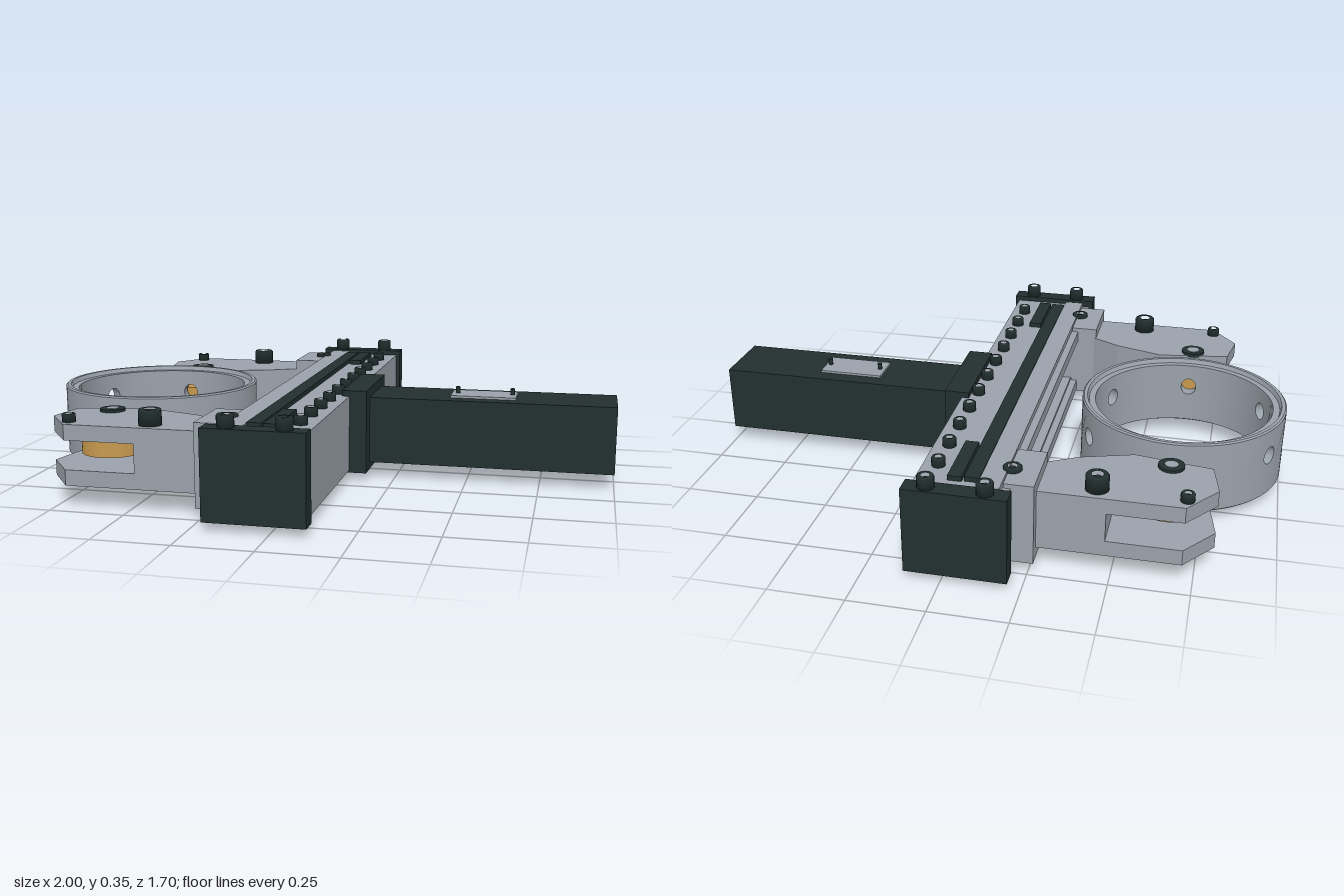
import * as THREE from 'three';

const MID = 0.165; // height of the symmetry plane

export function createModel() {
  const mat = (name, color) => {
    const m = new THREE.MeshStandardMaterial({ color });
    m.name = name;
    return m;
  };
  const steel = mat('steel grey', 0x9aa2ab);
  const dark = mat('blackened steel', 0x22302f);
  const brass = mat('brass', 0xc89a50);

  const root = new THREE.Group();
  root.name = 'gripper';

  const add = (parent, name, geo, material) => {
    const m = new THREE.Mesh(geo, material);
    m.name = name;
    parent.add(m);
    return m;
  };
  // box given by its limits on each axis
  const box = (parent, name, material, [x0, x1], [y0, y1], [z0, z1]) =>
    add(parent, name, new THREE.BoxGeometry(x1 - x0, y1 - y0, z1 - z0), material)
      .position.set((x0 + x1) / 2, (y0 + y1) / 2, (z0 + z1) / 2);
  // upright cylinder given by its bottom and top
  const post = (parent, name, material, r, x, z, y0, y1, sides = 24) =>
    add(parent, name, new THREE.CylinderGeometry(r, r, y1 - y0, sides), material)
      .position.set(x, (y0 + y1) / 2, z);
  // socket-head bolt with a hexagonal recess
  const bolt = (parent, name, r, x, z, y0, y1) => {
    const h = y1 - y0;
    const pts = [[0, 0], [r, 0], [r, h * 0.9], [r * 0.9, h], [r * 0.5, h]];
    const head = new THREE.LatheGeometry(pts.map(p => new THREE.Vector2(...p)), 20);
    add(parent, name, head, dark).position.set(x, y0, z);
    post(parent, name + 'Socket', dark, r * 0.52, x, z, y0, y1 - h * 0.25, 6);
  };
  // plate cut from an x/z outline
  const plate = (parent, name, material, outline, y0, y1) => {
    const shape = new THREE.Shape(outline.map(([x, z]) => new THREE.Vector2(x, -z)));
    const g = new THREE.ExtrudeGeometry(shape, { depth: y1 - y0, bevelEnabled: false });
    g.rotateX(-Math.PI / 2);
    add(parent, name, g, material).position.y = y0;
  };

  // ---- slide housing, open towards the jaws
  const body = new THREE.Group();
  body.name = 'slideHousing';
  root.add(body);
  box(body, 'mainBeam', steel, [-0.12, 0.10], [0.035, 0.297], [-0.79, 0.79]);
  for (const s of [-1, 1]) {
    const span = (a, b) => [MID + s * a, MID + s * b].sort((p, q) => p - q);
    box(body, 'guideRail', steel, [-0.17, -0.10], span(0.075, 0.145), [-0.78, 0.78]);
    box(body, 'railLip', steel, [-0.195, -0.165], span(0.085, 0.125), [-0.79, 0.79]);
    box(body, 'coverStrip', dark, [-0.10, -0.052], span(0.125, 0.148), [-0.735, 0.735]);
    for (const z of [-0.625, 0.625])
      box(body, 'wiperStrip', dark, [-0.045, 0], span(0.125, 0.148), [z - 0.115, z + 0.115]);
  }
  for (let i = -5; i <= 5; i++) {
    bolt(body, 'housingBolt', 0.022, 0.05, i * 0.131, 0.29, 0.327);
    post(body, 'housingBoltLower', dark, 0.014, 0.05, i * 0.131, 0, 0.04, 16);
    post(body, 'housingBoltCollar', dark, 0.022, 0.05, i * 0.131, 0.012, 0.04, 16);
  }

  // ---- end caps with their bolts
  for (const s of [-1, 1]) {
    const z = [s * 0.79, s * 0.852].sort((a, b) => a - b);
    box(root, 'endCap', dark, [-0.21, 0.115], [0.027, 0.315], z);
    for (const x of [-0.137, 0.043]) bolt(root, 'endCapBolt', 0.027, x, s * 0.821, 0.31, 0.355);
  }

  // ---- drive unit
  box(root, 'driveFlange', dark, [0.075, 0.16], [0.027, 0.317], [-0.177, 0.177]);
  box(root, 'driveHousing', dark, [0.15, 1.0], [0.053, 0.285], [-0.115, 0.115]);
  box(root, 'ratingPlate', steel, [0.435, 0.66], [0.285, 0.293], [-0.061, 0.061]);
  for (const x of [0.455, 0.645]) post(root, 'plateScrew', dark, 0.008, x, 0, 0.285, 0.315, 10);

  // ---- jaws, mirrored front to back
  const outline = [[-0.805, 0.58], [-0.78, 0.445], [-0.53, 0.405], [-0.36, 0.46],
    [-0.26, 0.515], [-0.26, 0.70], [-0.715, 0.70]];
  const web = [[-0.48, 0.421], [-0.36, 0.46], [-0.26, 0.515], [-0.26, 0.70], [-0.48, 0.70]];
  for (const s of [1, -1]) {
    const jaw = new THREE.Group();
    jaw.name = s > 0 ? 'frontJaw' : 'rearJaw';
    jaw.scale.z = s;
    root.add(jaw);
    box(jaw, 'jawCarriage', steel, [-0.267, -0.172], [0.033, 0.305], [0.515, 0.737]);
    box(jaw, 'carriageTongue', steel, [-0.18, -0.11], [0.09, 0.24], [0.515, 0.737]);
    plate(jaw, 'lowerFork', steel, outline, 0.07, 0.122);
    plate(jaw, 'jawWeb', steel, web, 0.122, 0.218);
    plate(jaw, 'upperFork', steel, outline, 0.218, 0.27);
    // roller on its pin
    post(jaw, 'roller', brass, 0.106, -0.65, 0.46, 0.132, 0.204, 48);
    post(jaw, 'rollerPin', steel, 0.022, -0.65, 0.46, 0.065, 0.281);
    post(jaw, 'rollerSpacer', steel, 0.04, -0.65, 0.46, 0.122, 0.218);
    post(jaw, 'pinWasherUpper', dark, 0.042, -0.65, 0.46, 0.265, 0.279, 32);
    post(jaw, 'pinWasherLower', dark, 0.042, -0.65, 0.46, 0.06, 0.075, 32);
    bolt(jaw, 'jawBolt', 0.037, -0.443, 0.645, 0.27, 0.322);
    post(jaw, 'jawBoltWasher', dark, 0.03, -0.443, 0.645, 0.265, 0.29);
    bolt(jaw, 'tipBolt', 0.022, -0.715, 0.655, 0.265, 0.297);
    bolt(jaw, 'carriageBolt', 0.03, -0.182, 0.645, 0.285, 0.318);
  }

  // ---- gripped ring: two rims and a drilled middle band
  const ring = new THREE.Group();
  ring.name = 'grippedRing';
  ring.position.x = -0.65;
  root.add(ring);
  const R = 0.35, RI = 0.305, Y0 = 0.135, Y1 = 0.255;
  // each straight run is its own lathe so the edges stay sharp
  const rim = (name, pts) => {
    for (let i = 0; i < pts.length - 1; i++)
      add(ring, name, new THREE.LatheGeometry(
        [pts[i], pts[i + 1]].map(p => new THREE.Vector2(...p)), 96), steel);
  };
  rim('upperRim', [[R, Y1], [R, 0.29], [0.345, 0.295], [0.333, 0.295], [0.327, 0.28], [RI, 0.28], [RI, Y1]]);
  rim('lowerRim', [[RI, Y0], [RI, 0.06], [0.327, 0.06], [0.333, 0.045], [0.345, 0.045], [R, 0.05], [R, Y0]]);

  // flat panels bent round the axis, every fourth one drilled
  const step = Math.PI / 12, half = step / 2 * R, cols = 4;
  for (let k = 0; k < 24; k++) {
    const pts = [];
    for (let i = 0; i <= cols; i++) pts.push(new THREE.Vector2(-half + 2 * half * i / cols, Y0));
    for (let i = cols; i >= 0; i--) pts.push(new THREE.Vector2(-half + 2 * half * i / cols, Y1));
    const shape = new THREE.Shape(pts);
    if (k % 4 === 0) shape.holes.push(new THREE.Path().absarc(0, 0.195, 0.031, 0, Math.PI * 2, true));
    const g = new THREE.ExtrudeGeometry(shape, { depth: R - RI, bevelEnabled: false, curveSegments: 12 });
    const p = g.attributes.position, n = g.attributes.normal;
    const up = new THREE.Vector3(0, 1, 0), v = new THREE.Vector3();
    for (let i = 0; i < p.count; i++) {
      const a = p.getX(i) / R + k * step;
      const r = RI + p.getZ(i);
      v.fromBufferAttribute(n, i).applyAxisAngle(up, a);
      n.setXYZ(i, v.x, v.y, v.z);
      p.setXYZ(i, r * Math.sin(a), p.getY(i), r * Math.cos(a));
    }
    add(ring, 'ringBand', g, steel);
  }
  return root;
}
